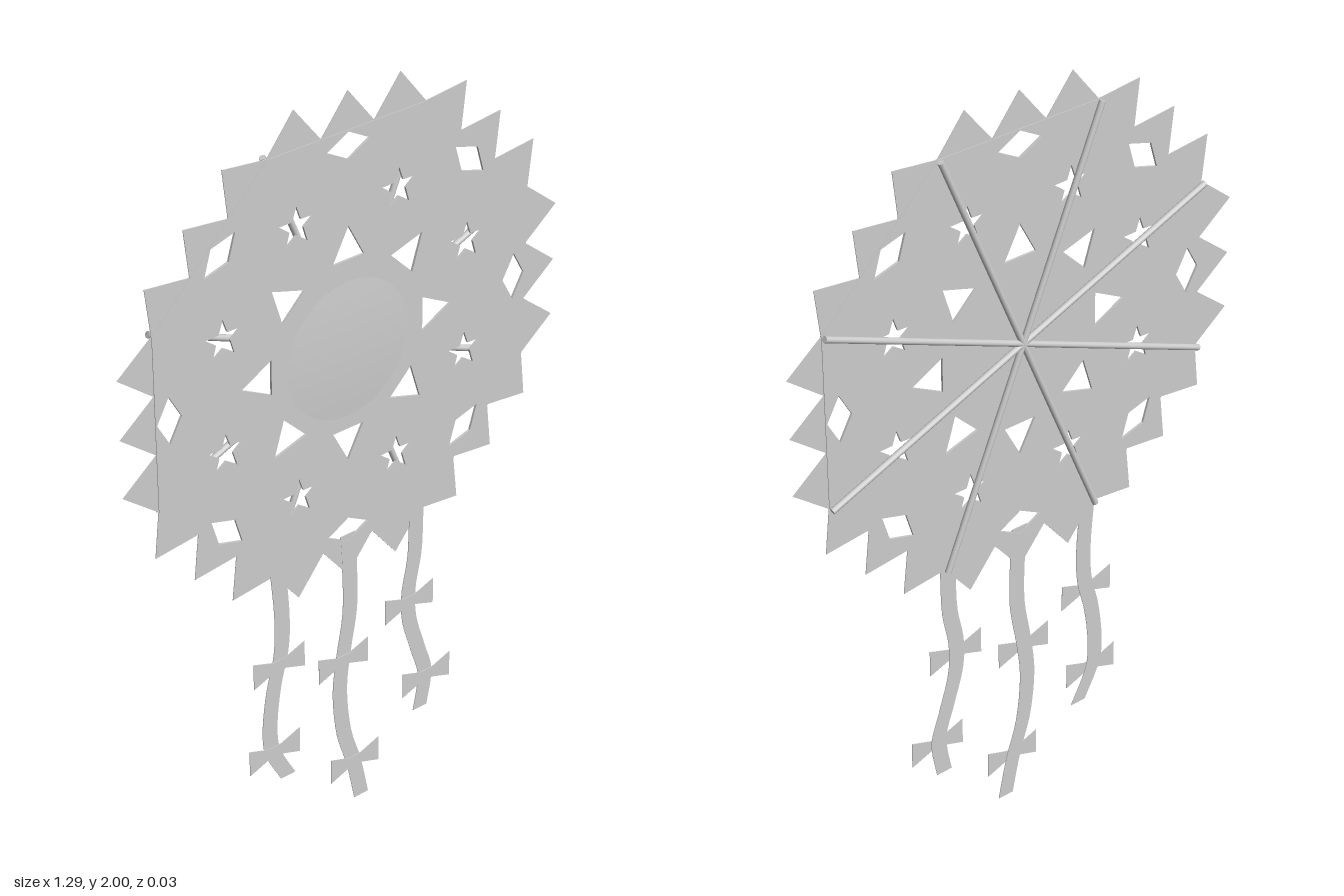
import * as THREE from 'three';

const CENTER_Y = 1.355, APOTHEM = 0.55, TIP = 0.645;
const CORNER = APOTHEM / Math.cos(Math.PI / 8);
const HALF_SIDE = APOTHEM * Math.tan(Math.PI / 8);

// Point at radial distance r and sideways offset t, turned to angle a
const at = (r, t, a) => new THREE.Vector2(
  r * Math.cos(a) - t * Math.sin(a), r * Math.sin(a) + t * Math.cos(a));

// Thin cut-out plate
const plate = (shape, depth) => new THREE.ExtrudeGeometry(shape, { depth, bevelEnabled: false });

export function createModel() {
  const kite = new THREE.Group();
  kite.name = 'kite';
  const grey = new THREE.MeshStandardMaterial({ color: 0xcccccc, side: THREE.DoubleSide });
  grey.name = 'lightGrey';

  const add = (name, geometry, parent, x = 0, y = 0, z = 0) => {
    const mesh = new THREE.Mesh(geometry, grey);
    mesh.name = name;
    mesh.position.set(x, y, z);
    parent.add(mesh);
    return mesh;
  };

  const body = new THREE.Group();
  body.name = 'kiteBody';
  body.position.y = CENTER_Y;
  kite.add(body);

  // Octagonal sheet with cut-out diamonds, triangles and upright stars
  const corners = [];
  for (let i = 0; i < 8; i++) corners.push(at(CORNER, 0, (i + 0.5) * Math.PI / 4));
  const sheet = new THREE.Shape(corners);
  const teeth = [];
  for (let i = 0; i < 8; i++) {
    const a = i * Math.PI / 4, b = a + Math.PI / 8;
    const diamond = [[0.478, 0], [0.512, 0.062], [0.546, 0], [0.512, -0.062]];
    const triangle = [[0.225, -0.046], [0.225, 0.046], [0.312, 0]];
    for (const hole of [diamond, triangle])
      sheet.holes.push(new THREE.Path(hole.map(([r, t]) => at(r, t, a))));
    const star = [];
    for (let k = 0; k < 10; k++)
      star.push(at(k % 2 ? 0.021 : 0.052, 0, Math.PI / 2 + k * Math.PI / 5).add(at(0.388, 0, b)));
    sheet.holes.push(new THREE.Path(star));

    // Three pointed teeth on each side
    const w = HALF_SIDE / 3;
    for (const m of [-2 * w, 0, 2 * w])
      teeth.push(new THREE.Shape([
        at(APOTHEM, m - w, a), at(TIP, m, a), at(APOTHEM, m + w, a)]));
  }
  add('sheet', plate(sheet, 0.006), body, 0, 0, -0.003);
  add('edgeTeeth', plate(teeth, 0.002), body, 0, 0, -0.001);

  // Crossing rods on the back
  for (let i = 0; i < 4; i++) {
    const rod = add('backRod', new THREE.CylinderGeometry(0.008, 0.008, 2 * CORNER, 10),
      body, 0, 0, -0.0135);
    rod.rotation.z = (i + 0.5) * Math.PI / 4;
  }

  // Very shallow bulge in the middle of the front
  const profile = [];
  for (let i = 0; i <= 8; i++) {
    const r = 0.18 * (1 - i / 8);
    profile.push(new THREE.Vector2(r, 0.006 * (1 - (r / 0.18) ** 2)));
  }
  const bulge = add('centreBulge', new THREE.LatheGeometry(profile, 32), body, 0, -0.01, 0.003);
  bulge.rotation.x = Math.PI / 2;

  // Wavy ribbon tails, each with two bows
  const bow = new THREE.Shape([[-0.078, 0.037], [-0.02, 0.016], [0.02, 0.016], [0.078, 0.037],
    [0.078, -0.037], [0.02, -0.016], [-0.02, -0.016], [-0.078, -0.037]]
    .map(([x, y]) => new THREE.Vector2(x, y)));
  const tails = [
    { name: 'rightTail', bows: [[-0.217, 0.54], [-0.235, 0.283]],
      path: [[-0.215, 0.82], [-0.204, 0.68], [-0.208, 0.575], [-0.233, 0.47], [-0.246, 0.36],
        [-0.238, 0.28], [-0.192, 0.185]] },
    { name: 'middleTail', bows: [[-0.016, 0.458], [0.021, 0.125]],
      path: [[0, 0.828], [0.006, 0.73], [0.007, 0.6], [-0.014, 0.47], [-0.025, 0.36],
        [-0.012, 0.23], [0.02, 0.12], [0.045, 0]] },
    { name: 'leftTail', bows: [[0.196, 0.54], [0.257, 0.283]],
      path: [[0.218, 0.82], [0.215, 0.68], [0.197, 0.575], [0.2, 0.485], [0.23, 0.38],
        [0.255, 0.29], [0.24, 0.185]] },
  ];
  for (const { name, bows, path } of tails) {
    const tail = new THREE.Group();
    tail.name = name;
    kite.add(tail);
    const curve = new THREE.SplineCurve(path.map(([x, y]) => new THREE.Vector2(x, y)));
    const left = [], right = [];
    for (let i = 0; i <= 28; i++) {
      const p = curve.getPoint(i / 28);
      left.push(new THREE.Vector2(p.x - 0.0225, p.y));
      right.unshift(new THREE.Vector2(p.x + 0.0225, p.y));
    }
    add('ribbon', plate(new THREE.Shape([...left, ...right]), 0.002), tail, 0, 0, -0.0005);
    for (const [x, y] of bows) add('bow', plate(bow, 0.002), tail, x, y, 0.003);
  }
  return kite;
}
